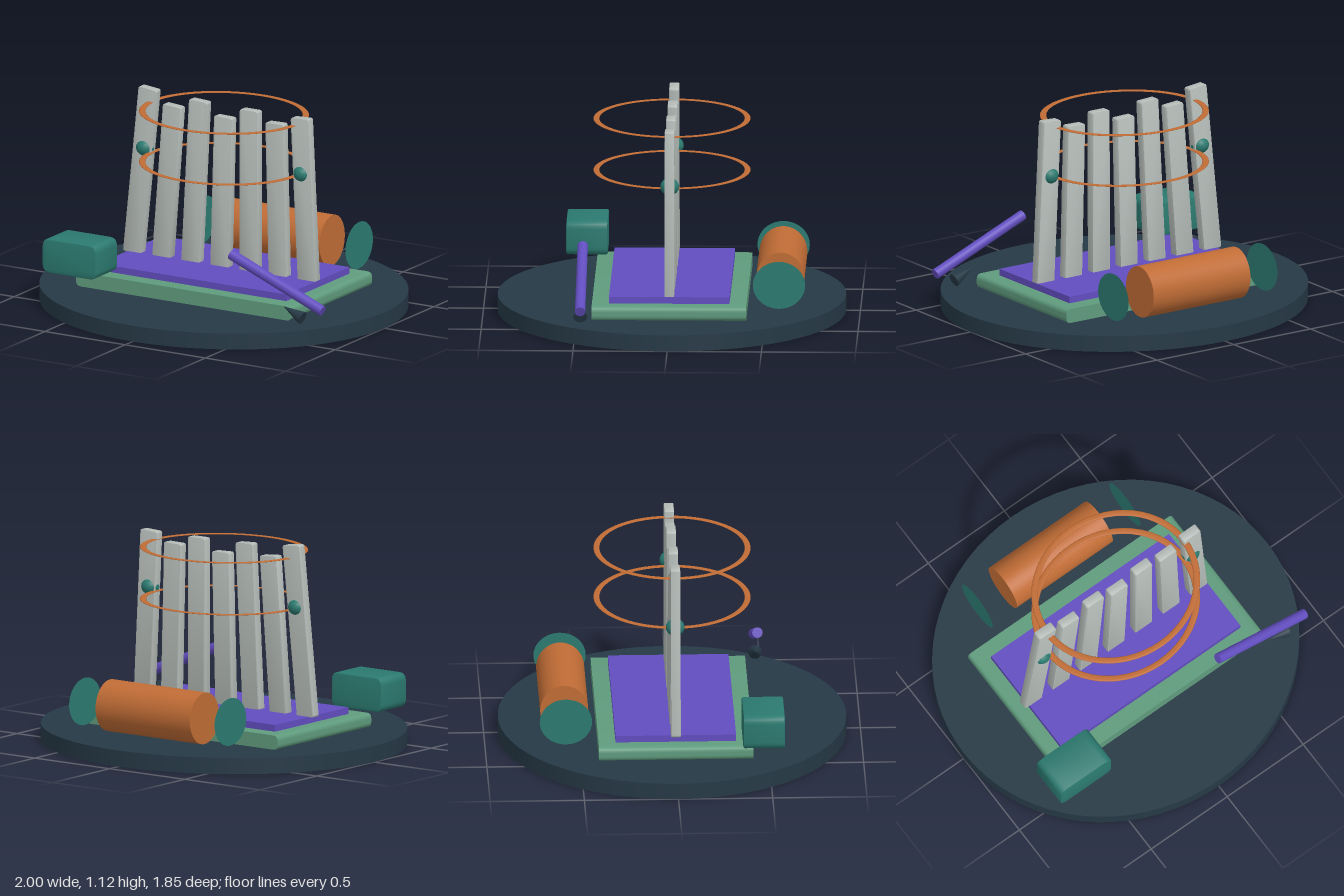
import * as THREE from 'three';
import { toCreasedNormals } from 'three/addons/utils/BufferGeometryUtils.js';

const paint = (name, color, side = THREE.FrontSide) => {
  const m = new THREE.MeshStandardMaterial({ color, side });
  m.name = name;
  return m;
};

// Box whose outline is rounded in the xy plane, centred on the origin
function roundedSlab(w, h, d, r, bevel = 0) {
  const x = w / 2 - bevel, y = h / 2 - bevel;
  const s = new THREE.Shape();
  s.moveTo(-x + r, -y);
  s.lineTo(x - r, -y).quadraticCurveTo(x, -y, x, -y + r);
  s.lineTo(x, y - r).quadraticCurveTo(x, y, x - r, y);
  s.lineTo(-x + r, y).quadraticCurveTo(-x, y, -x, y - r);
  s.lineTo(-x, -y + r).quadraticCurveTo(-x, -y, -x + r, -y);
  const depth = d - 2 * bevel;
  const g = new THREE.ExtrudeGeometry(s, {
    depth, curveSegments: 5, bevelEnabled: bevel > 0,
    bevelSize: bevel, bevelThickness: bevel, bevelSegments: 2,
  });
  g.translate(0, 0, -depth / 2);
  return toCreasedNormals(g, 0.6);
}

export function createModel() {
  const model = new THREE.Group();
  const navy = paint('dark navy', 0x263946);
  const green = paint('sage green', 0x5f9b7d);
  const purple = paint('violet', 0x624dbf);
  const grey = paint('pale grey', 0xb5bcb8);
  const copper = paint('copper', 0xc06c35);
  const teal = paint('teal', 0x2b7a70, THREE.DoubleSide);

  const add = (name, geometry, material, x, y, z) => {
    const mesh = new THREE.Mesh(geometry, material);
    mesh.name = name;
    mesh.position.set(x, y, z);
    model.add(mesh);
    return mesh;
  };

  // Oval base, mat and sheet
  add('base', new THREE.CylinderGeometry(1, 1, 0.087, 72), navy, 0, 0.0435, 0).scale.z = 0.925;
  add('mat', roundedSlab(1.34, 0.077, 0.82, 0.03), green, 0, 0.126, 0);
  add('sheet', new THREE.BoxGeometry(1.17, 0.037, 0.64), purple, 0, 0.182, 0);

  // Row of fanned slats
  const tops = [1.115, 1.04, 1.09, 1.023, 1.083, 1.035, 1.085];
  const foot = 0.19;
  tops.forEach((top, i) => {
    const lean = -0.105 + 0.0258 * i;
    const h = top - foot;
    const x = -0.56 + 0.1815 * i - Math.tan(lean) * h / 2;
    add('slat' + (i + 1), roundedSlab(0.112, h, 0.052, 0.008, 0.005), grey, x, foot + h / 2, 0)
      .rotation.z = lean;
  });

  // Flat oval hoops around the slats
  for (const y of [0.76, 1.04]) {
    const hoop = add('hoop', new THREE.TorusGeometry(0.446, 0.018, 10, 56), copper, 0, y, 0);
    hoop.rotation.x = Math.PI / 2;
    hoop.scale.set(1, 0.9, 0.17);
  }

  // Beads on the outer slats and discs beside the roll
  for (const side of [-1, 1]) {
    add('bead', new THREE.SphereGeometry(0.05, 24, 16), teal, side * 0.49, 0.78, 0).scale.y = 0.92;
    const disc = add('endDisc', new THREE.CircleGeometry(0.139, 40), teal, side * 0.485, 0.245, -0.58);
    disc.rotation.y = side * Math.PI / 2;
    disc.scale.y = 0.92;
  }

  // Roll at the back
  const roll = add('roll', new THREE.CylinderGeometry(0.139, 0.139, 0.63, 40), copper, 0, 0.245, -0.583);
  roll.rotation.z = Math.PI / 2;
  roll.scale.z = 0.92;

  // Block at the front corner
  add('block', roundedSlab(0.335, 0.186, 0.22, 0.035, 0.008), teal, -0.613, 0.279, 0.463);

  // Slanted stick with a loose dark tip below it
  const tilt = Math.atan2(0.57, 0.23);
  add('stick', new THREE.CylinderGeometry(0.028, 0.028, 0.615, 24), purple, 0.615, 0.305, 0.465)
    .rotation.z = tilt;
  add('tip', new THREE.ConeGeometry(0.036, 0.128, 20), navy, 0.717, 0.158, 0.467)
    .rotation.z = tilt;

  return model;
}
